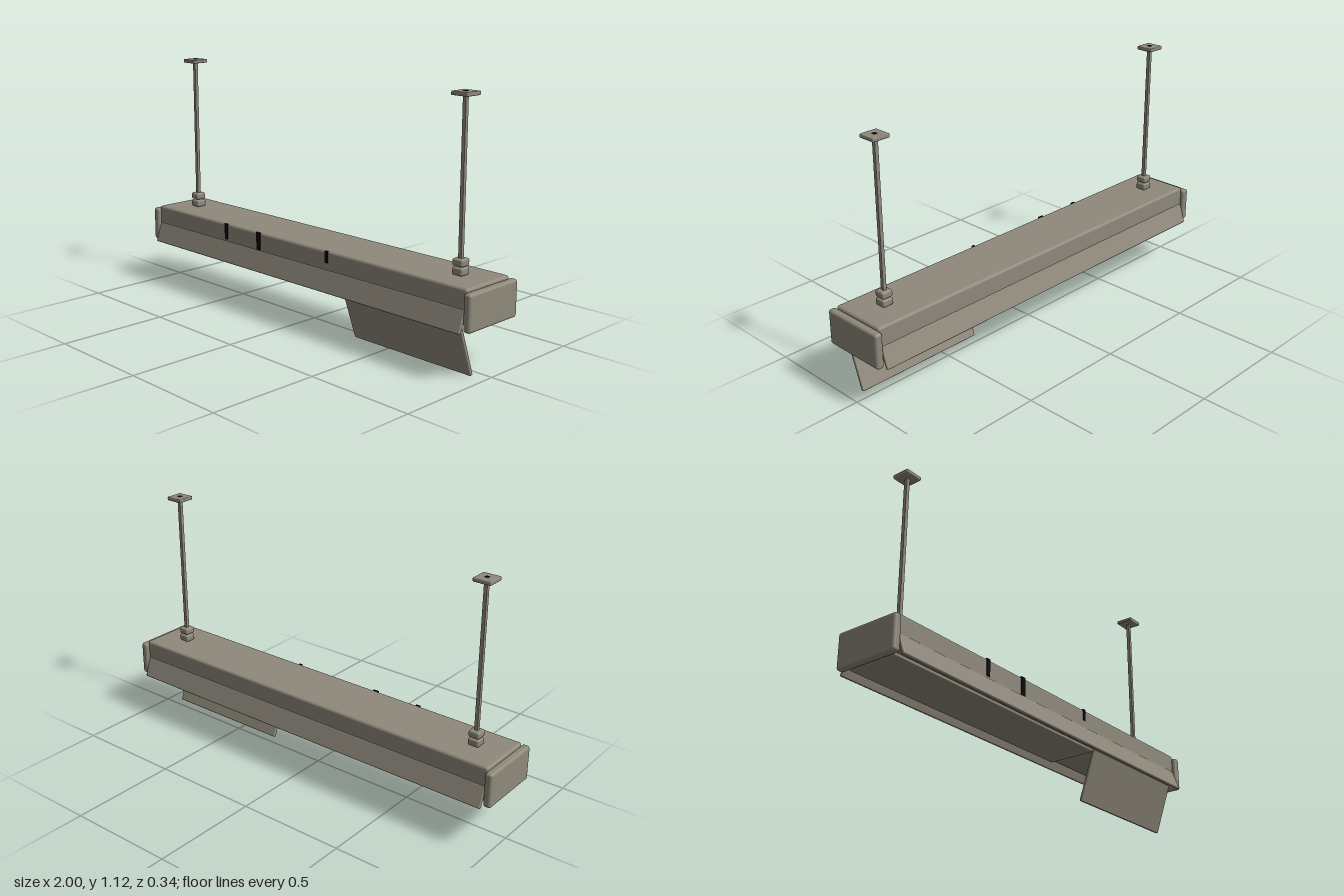
import * as THREE from 'three';
import { RoundedBoxGeometry } from 'three/addons/geometries/RoundedBoxGeometry.js';

export function createModel() {
  const model = new THREE.Group();
  model.name = 'hangingLamp';
  const metal = new THREE.MeshStandardMaterial({ color: 0x8f897b });
  metal.name = 'taupe metal';
  const black = new THREE.MeshStandardMaterial({ color: 0x050505 });
  black.name = 'black';

  const add = (name, geometry, material, x, y, z, parent = model) => {
    const mesh = new THREE.Mesh(geometry, material);
    mesh.name = name;
    mesh.position.set(x, y, z);
    parent.add(mesh);
    return mesh;
  };
  const rounded = (w, h, d, r) => new RoundedBoxGeometry(w, h, d, 3, r);
  const box = (w, h, d) => new THREE.BoxGeometry(w, h, d);

  // Long housing
  add('housing', rounded(1.94, 0.148, 0.27, 0.012), metal, 0, 0.314, 0);

  // End caps and the hanging hardware, mirrored left and right
  for (const side of [-1, 1]) {
    const label = side > 0 ? 'left' : 'right';
    add(label + 'EndCap', rounded(0.036, 0.158, 0.304, 0.012), metal, side * 0.982, 0.296, 0);

    const hanger = new THREE.Group();
    hanger.name = label + 'Hanger';
    hanger.position.x = side * 0.83;
    model.add(hanger);
    add('lowerCoupling', rounded(0.052, 0.034, 0.052, 0.009), metal, 0, 0.405, 0, hanger);
    add('upperCoupling', rounded(0.052, 0.032, 0.052, 0.009), metal, 0, 0.441, 0, hanger);
    add('rod', box(0.016, 0.725, 0.016), metal, 0, 0.75, 0, hanger);
    add('ceilingPlate', rounded(0.082, 0.017, 0.082, 0.004), metal, 0, 1.1115, 0, hanger);
    add('rodHole', box(0.016, 0.002, 0.016), black, 0, 1.1205, 0, hanger);
  }

  // Flared skirts along the front and back
  for (const side of [-1, 1]) {
    const skirt = add(side > 0 ? 'frontSkirt' : 'backSkirt',
      rounded(1.925, 0.097, 0.015, 0.005), metal, 0, 0.256, side * 0.146);
    skirt.rotation.x = -side * 0.35;
  }

  // Closed bottom cover
  add('bottomCover', rounded(1.265, 0.016, 0.232, 0.005), metal, -0.33, 0.225, 0.004);

  // Open door hinged under the front edge
  const door = new THREE.Group();
  door.name = 'openDoor';
  door.position.set(0.62, 0.229, 0.122);
  door.rotation.x = 0.335;
  model.add(door);
  add('doorPanel', rounded(0.632, 0.238, 0.016, 0.005), metal, 0, -0.119, 0, door);

  // Latches at the back of the door opening
  for (const x of [0.31, 0.94]) {
    add('latch', box(0.02, 0.012, 0.02), black, x, 0.236, -0.112);
  }

  // Dark slots on the front: x, width, lower edge
  for (const [x, width, low] of [[-0.452, 0.02, 0.312], [-0.225, 0.026, 0.306], [0.213, 0.015, 0.335]]) {
    add('frontSlot', box(width, 0.388 - low, 0.008), black, x, (0.388 + low) / 2, 0.1345);
  }
  return model;
}
